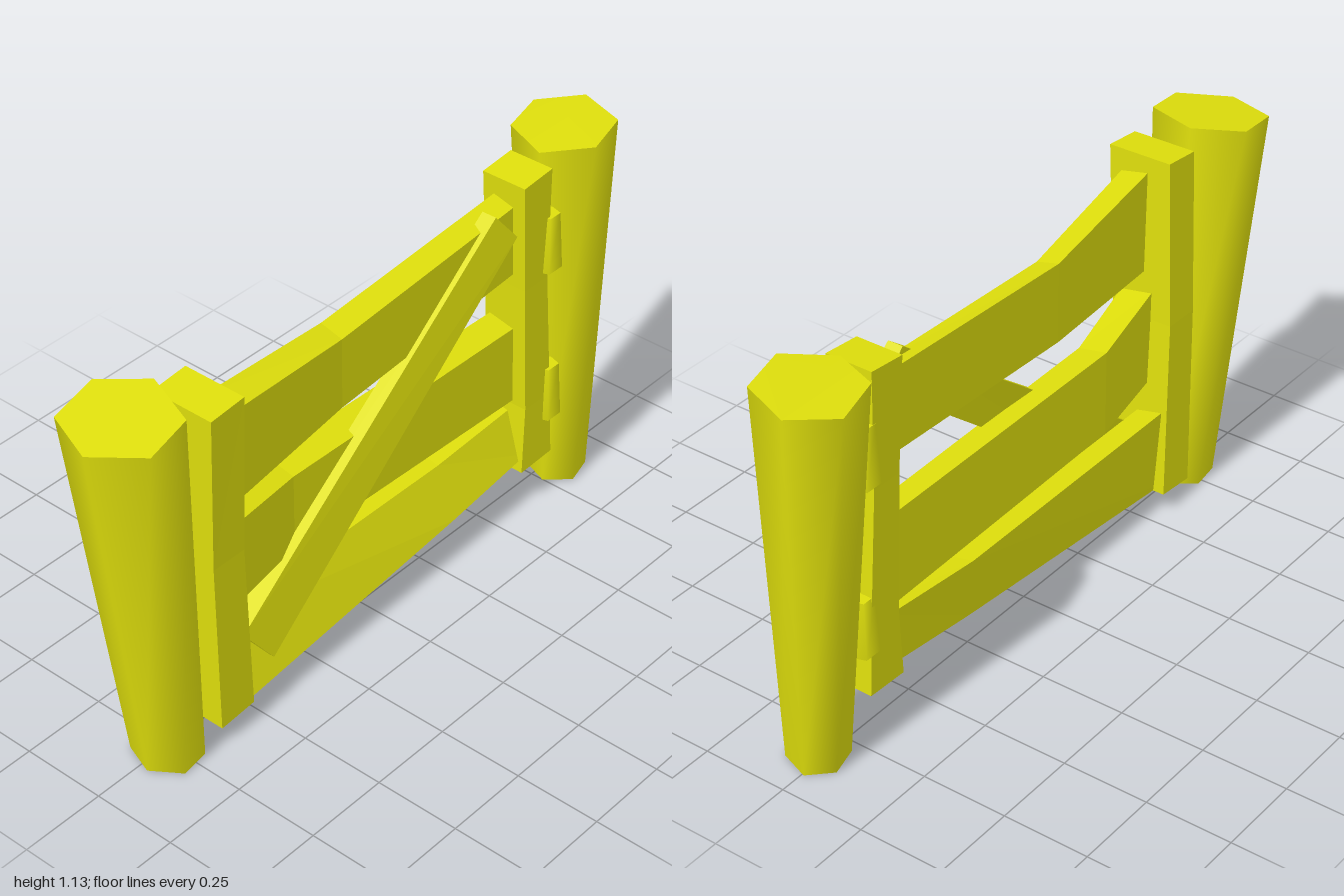
import * as THREE from 'three';

// Skin a row of rings (each a list of [x, y, z], counter-clockwise about the direction of travel).
// The far end is always capped, the near end only when closed.
function loft(rings, smooth, closed) {
  const n = rings[0].length;
  const pos = rings.flat(2);
  const index = [];
  for (let i = 0; i < rings.length - 1; i++) {
    for (let k = 0; k < n; k++) {
      const a = i * n + k, b = i * n + (k + 1) % n;
      index.push(a, b, b + n, a, b + n, a + n);
    }
  }
  // caps have their own corners so their edges stay sharp
  const start = pos.length / 3;
  pos.push(...rings[0].flat(), ...rings[rings.length - 1].flat());
  for (let k = 1; k < n - 1; k++) {
    if (closed) index.push(start, start + k + 1, start + k);
    index.push(start + n, start + n + k, start + n + k + 1);
  }
  let geo = new THREE.BufferGeometry();
  geo.setAttribute('position', new THREE.Float32BufferAttribute(pos, 3));
  geo.setIndex(index);
  if (!smooth) geo = geo.toNonIndexed();
  geo.computeVertexNormals();
  return geo;
}

// Upright beam section: [y at left, y at right, x0, x1, z0, z1]
const uprightRing = ([yl, yr, x0, x1, z0, z1]) =>
  [[x0, yl, z0], [x0, yl, z1], [x1, yr, z1], [x1, yr, z0]];

// Plank section, its top edge sloping to the front: [x, y0, y1, z0 bottom, z1 bottom, z0 top, z1 top]
const plankRing = ([x, y0, y1, b0, b1, t0, t1]) =>
  [[x, y0, b0], [x, y1, t0], [x, y1 - 0.018, t1], [x, y0 + 0.006, b1]];

// Six-sided hinge section: [y, centre x, half width, centre z, half depth]
const hingeRing = ([y, cx, rx, cz, rz]) => Array.from({ length: 6 }, (_, k) => {
  const t = Math.PI / 2 + k * Math.PI / 3;
  return [cx + rx * Math.sin(t), y, cz + rz * Math.cos(t)];
});

export function createModel() {
  const group = new THREE.Group();
  group.name = 'gate';
  const wood = new THREE.MeshStandardMaterial({ color: 0xdede0c, side: THREE.DoubleSide });
  wood.name = 'yellow wood';

  const add = (name, rings, smooth = false, closed = true) => {
    const mesh = new THREE.Mesh(loft(rings, smooth, closed), wood);
    mesh.name = name;
    group.add(mesh);
  };

  // Six-sided posts, wider and leaning outward at the top, open underneath
  const post = (name, top, topCentre, foot, scale) => add(name, [
    top.map(([x, , z]) => [foot[0] + (x - topCentre[0]) * scale, 0, foot[1] + (z - topCentre[1]) * scale]),
    top,
  ], true, false);
  post('rightPost', [
    [-1, 1.09, 0.03], [-0.91, 1.1, 0.16], [-0.77, 1.12, 0.14],
    [-0.712, 1.13, -0.02], [-0.8, 1.12, -0.14], [-0.945, 1.1, -0.12],
  ], [-0.857, 0.01], [-0.765, 0.015], 0.62);
  post('leftPost', [
    [1, 1.12, -0.06], [0.9, 1.11, -0.16], [0.75, 1.115, -0.12],
    [0.695, 1.11, 0.02], [0.795, 1.125, 0.13], [0.945, 1.125, 0.09],
  ], [0.847, -0.015], [0.838, 0.02], 0.585);

  // Crooked uprights at the gate's two ends
  add('rightStile', [
    [0.06, 0.07, -0.66, -0.54, -0.085, 0.11],
    [0.6, 0.6, -0.68, -0.57, -0.07, 0.12],
    [1.075, 1.085, -0.697, -0.582, -0.045, 0.147],
  ].map(uprightRing));
  add('leftStile', [
    [0.14, 0.145, 0.59, 0.72, -0.06, 0.085],
    [0.35, 0.35, 0.602, 0.71, -0.06, 0.08],
    [0.75, 0.75, 0.585, 0.682, -0.06, 0.075],
    [1.08, 1.09, 0.568, 0.683, -0.065, 0.075],
  ].map(uprightRing));

  // Warped planks, swinging forward at the free end
  add('topPlank', [
    [-0.6, 0.74, 1.04, 0.025, 0.11, 0.025, 0.11],
    [-0.13, 0.75, 0.985, -0.015, 0.055, -0.015, 0.055],
    [0.6, 0.785, 1.025, -0.03, 0.035, -0.03, 0.035],
  ].map(plankRing));
  add('middlePlank', [
    [-0.6, 0.405, 0.685, 0.0, 0.1, 0.0, 0.1],
    [-0.3, 0.39, 0.645, -0.05, 0.04, -0.05, 0.04],
    [0.62, 0.355, 0.625, -0.045, 0.035, -0.045, 0.035],
  ].map(plankRing));
  add('bottomPlank', [
    [-0.6, 0.065, 0.325, -0.05, 0.1, -0.06, 0.02],
    [0.3, 0.138, 0.32, -0.045, 0.08, -0.062, 0.02],
    [0.63, 0.17, 0.34, -0.04, 0.07, -0.05, 0.02],
  ].map(plankRing));

  // Diagonal brace across the front
  add('brace', [
    [[-0.44, 0.145, 0.035], [-0.535, 0.27, 0.02], [-0.535, 0.27, 0.075], [-0.44, 0.145, 0.09]],
    [[0.55, 0.94, 0.015], [0.475, 1.03, 0.01], [0.475, 1.03, 0.055], [0.55, 0.94, 0.07]],
  ]);

  // Hinges between the upright and the post
  add('upperHinge', [
    [0.77, 0.695, 0.055, 0.01, 0.095],
    [0.94, 0.695, 0.042, 0.01, 0.085],
  ].map(hingeRing), true);
  add('lowerHinge', [
    [0.273, 0.713, 0.055, 0.015, 0.095],
    [0.44, 0.712, 0.045, 0.015, 0.085],
  ].map(hingeRing), true);

  return group;
}
